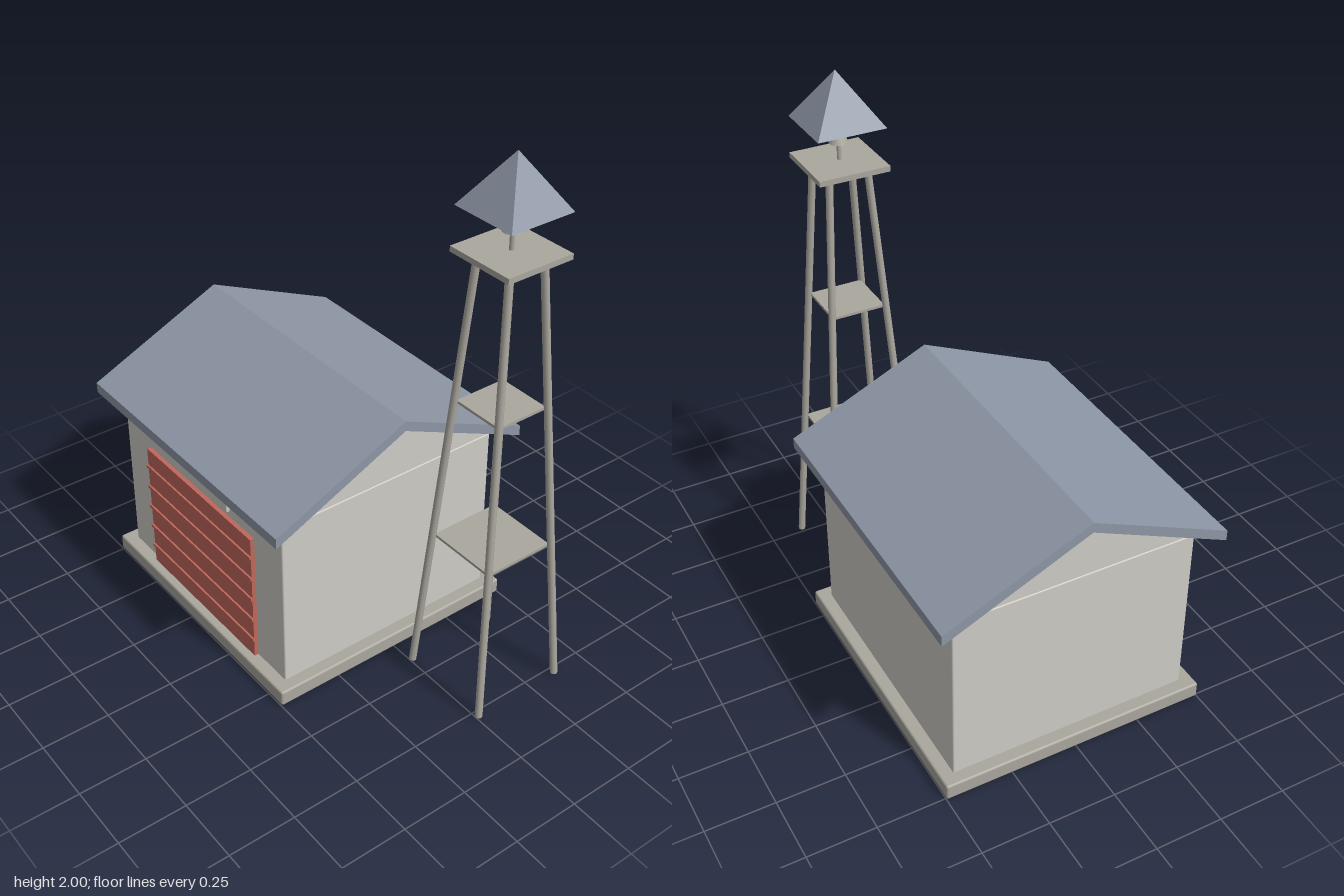
import * as THREE from 'three';
import { mergeVertices } from 'three/addons/utils/BufferGeometryUtils.js';
import { RoundedBoxGeometry } from 'three/addons/geometries/RoundedBoxGeometry.js';

const material = (name, color) => {
  const m = new THREE.MeshStandardMaterial({ color });
  m.name = name;
  return m;
};

export function createModel() {
  const model = new THREE.Group();
  const wall = material('wallPlaster', 0xcfccc5);
  const concrete = material('concrete', 0xaaa79e);
  const red = material('doorRed', 0xc0675c);
  const slate = material('roofSlate', 0x8e97a6);

  const add = (parent, name, geometry, mat, x = 0, y = 0, z = 0) => {
    const mesh = new THREE.Mesh(geometry, mat);
    mesh.name = name;
    mesh.position.set(x, y, z);
    parent.add(mesh);
    return mesh;
  };
  const box = (w, h, d) => new THREE.BoxGeometry(w, h, d);
  const rounded = (w, h, d, r) => new RoundedBoxGeometry(w, h, d, 2, r);

  // Extrudes a [z, y] outline along x, centred on x = 0
  const profile = (points, width) => {
    const shape = new THREE.Shape(points.map(([z, y]) => new THREE.Vector2(-z, y)));
    const g = new THREE.ExtrudeGeometry(shape, { depth: width, bevelEnabled: false });
    return g.translate(0, 0, -width / 2).rotateY(Math.PI / 2);
  };

  // Garage
  const house = new THREE.Group();
  house.name = 'garage';
  house.position.x = -0.215;
  model.add(house);
  add(house, 'foundation', rounded(1.09, 0.06, 1, 0.008), concrete, 0, 0.033);
  add(house, 'walls', rounded(0.996, 0.67, 0.904, 0.006), wall, 0, 0.393);
  add(house, 'gable', profile([[0.45, 0.727], [-0.45, 0.727], [0, 0.942]], 0.99), wall);
  add(house, 'roof', profile([
    [0.525, 0.73], [0.525, 0.77], [0, 1.006], [-0.525, 0.77], [-0.525, 0.73], [0, 0.968],
  ], 1.144), slate);

  // Door with horizontal ribs, and the blank board above it
  add(house, 'door', box(0.666, 0.522, 0.022), red, 0, 0.324, 0.457);
  for (let i = 0; i < 5; i++) {
    add(house, 'doorRib', box(0.67, 0.012, 0.012), red, 0, 0.14 + i * 0.092, 0.469);
  }
  add(house, 'board', rounded(0.376, 0.096, 0.02, 0.004), wall, 0, 0.657, 0.455);

  // Tower
  const tower = new THREE.Group();
  tower.name = 'tower';
  tower.position.set(0.595, 0, -0.19);
  model.add(tower);
  const up = new THREE.Vector3(0, 1, 0);
  for (const sx of [-1, 1]) {
    for (const sz of [-1, 1]) {
      const foot = new THREE.Vector3(sx * 0.178, 0.002, sz * 0.178);
      const head = new THREE.Vector3(sx * 0.07, 1.665, sz * 0.07);
      const span = head.clone().sub(foot);
      // Normals are shared between sides and caps for a soft look
      let g = new THREE.CylinderGeometry(0.0135, 0.0135, span.length(), 10);
      g.deleteAttribute('normal');
      g.deleteAttribute('uv');
      g = mergeVertices(g);
      g.computeVertexNormals();
      const leg = add(tower, 'towerLeg', g, concrete);
      leg.position.copy(foot).add(head).multiplyScalar(0.5);
      leg.quaternion.setFromUnitVectors(up, span.normalize());
    }
  }
  add(tower, 'lowerPlatform', box(0.27, 0.01, 0.27), concrete, 0, 0.574);
  add(tower, 'middlePlatform', box(0.2, 0.01, 0.2), concrete, 0, 1.122);
  add(tower, 'topPlatform', box(0.26, 0.02, 0.26), concrete, 0, 1.668);

  // Bell on its post under a pyramid cap
  add(tower, 'post', new THREE.CylinderGeometry(0.008, 0.008, 0.15, 10), concrete, 0, 1.75);
  add(tower, 'bell', new THREE.CylinderGeometry(0.007, 0.034, 0.063, 16), concrete, 0, 1.773);
  const cap = new THREE.ConeGeometry(0.125 * Math.SQRT2, 0.186, 4).rotateY(Math.PI / 4).toNonIndexed();
  cap.computeVertexNormals();
  add(tower, 'towerRoof', cap, slate, 0, 1.907);

  return model;
}
